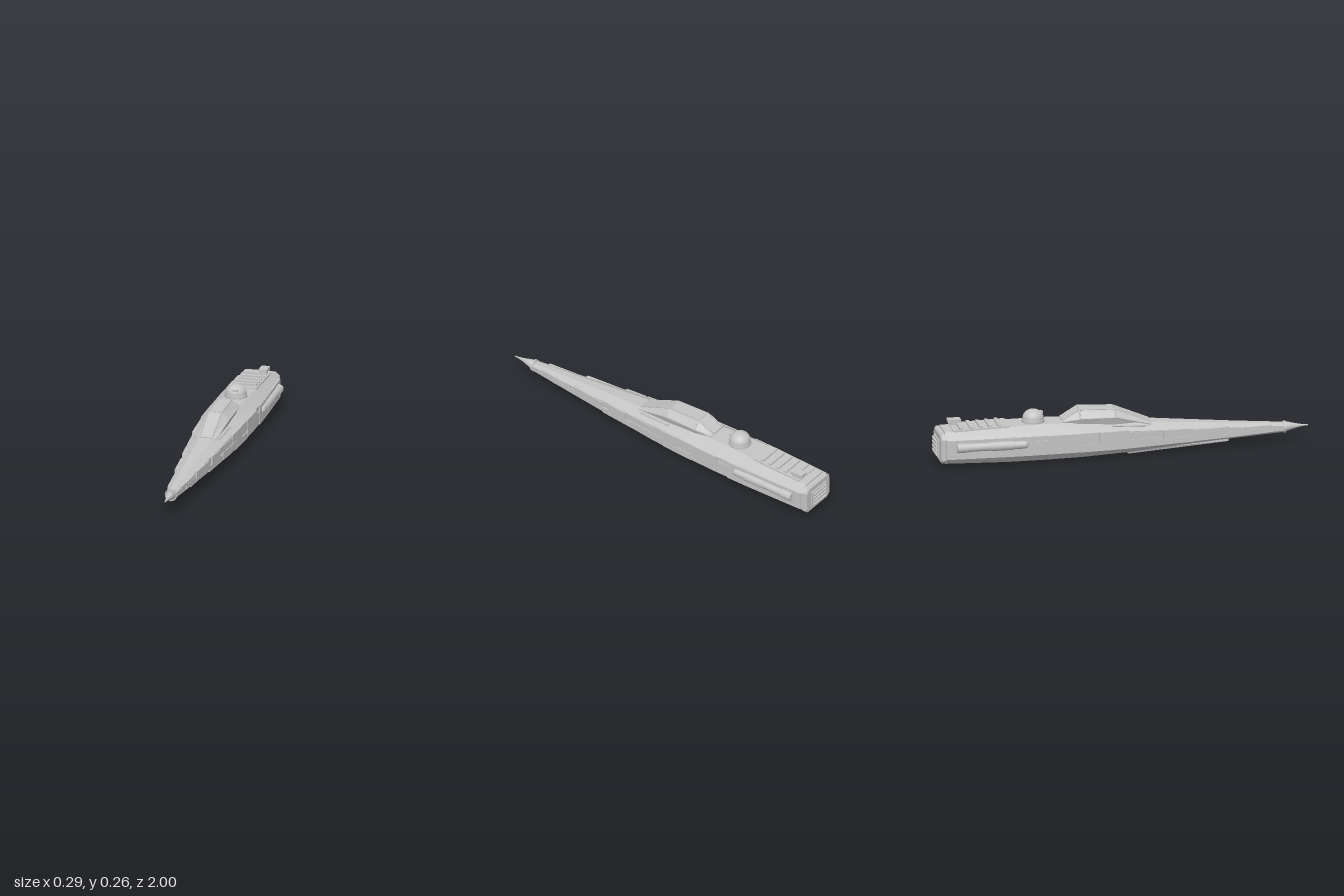
import * as THREE from 'three';

export function createModel() {
  const model = new THREE.Group();
  const grey = new THREE.MeshStandardMaterial({ color: 0xc4c4c4 });
  grey.name = 'hull grey';

  const add = (name, geo, x = 0, y = 0, z = 0) => {
    const m = new THREE.Mesh(geo, grey);
    m.name = name;
    m.position.set(x, y, z);
    model.add(m);
    return m;
  };
  const box = (name, w, h, d, x, y, z) => add(name, new THREE.BoxGeometry(w, h, d), x, y, z);

  // Closed faceted solid through rings ordered back to front, each counter-clockwise from the front
  function loft(rings) {
    const pos = [];
    const tri = (...p) => p.forEach((q) => pos.push(...q));
    const n = rings[0].length;
    for (let i = 0; i + 1 < rings.length; i++) {
      for (let j = 0; j < n; j++) {
        const k = (j + 1) % n, a = rings[i], b = rings[i + 1];
        tri(a[j], a[k], b[k]);
        tri(a[j], b[k], b[j]);
      }
    }
    const back = rings[0], front = rings[rings.length - 1];
    for (let j = 1; j + 1 < n; j++) {
      tri(front[0], front[j], front[j + 1]);
      tri(back[0], back[j + 1], back[j]);
    }
    const g = new THREE.BufferGeometry();
    g.setAttribute('position', new THREE.Float32BufferAttribute(pos, 3));
    g.computeVertexNormals();
    return g;
  }
  // Mirror a right-hand half profile (bottom to top) into a full ring
  const ring = (half, z) => [
    ...half.map(([x, y]) => [x, y, z]),
    ...half.slice().reverse().map(([x, y]) => [-x, y, z]),
  ];
  // Bar between two points
  function bar(name, a, b, r, sides = 6) {
    const A = new THREE.Vector3(...a), B = new THREE.Vector3(...b);
    const m = add(name, new THREE.CylinderGeometry(r, r, A.distanceTo(B), sides));
    m.position.copy(A).add(B).multiplyScalar(0.5);
    m.quaternion.setFromUnitVectors(new THREE.Vector3(0, 1, 0), B.sub(A).normalize());
  }

  // Hull stations: z, bottom half width, bottom y, side half width, side low y, side high y, top half width, top y
  const stations = [
    [-0.955, 0.075, 0.016, 0.108, 0.05, 0.148, 0.07, 0.186],
    [-0.62, 0.076, 0.006, 0.119, 0.047, 0.152, 0.068, 0.196],
    [-0.4, 0.076, 0.006, 0.121, 0.047, 0.15, 0.062, 0.198],
    [-0.2, 0.068, 0.007, 0.116, 0.047, 0.15, 0.052, 0.192],
    [0.03, 0.052, 0.013, 0.103, 0.048, 0.142, 0.042, 0.178],
    [0.3, 0.038, 0.03, 0.078, 0.054, 0.129, 0.03, 0.155],
    [0.57, 0.026, 0.045, 0.054, 0.061, 0.113, 0.02, 0.132],
    [0.87, 0.013, 0.06, 0.028, 0.072, 0.098, 0.011, 0.108],
  ];
  add('hull', loft(stations.map(([z, bx, by, sx, s0, s1, tx, ty]) =>
    ring([[bx, by], [sx, s0], [sx, s1], [tx, ty]], z))));

  // Value of a station column at any z
  function at(z, col) {
    let i = 0;
    while (i < stations.length - 2 && z > stations[i + 1][0]) i++;
    const a = stations[i], b = stations[i + 1];
    return THREE.MathUtils.lerp(a[col], b[col], (z - a[0]) / (b[0] - a[0]));
  }

  // Raised armour plates: back z, front z, low y, high y, thickness
  const plates = [
    [-0.95, -0.48, 0.048, 0.15, 0.006], [-0.48, -0.4, 0.065, 0.125, 0.005],
    [-0.41, -0.24, 0.06, 0.15, 0.007], [-0.24, -0.13, 0.1, 0.15, 0.005],
    [-0.24, -0.05, 0.048, 0.085, 0.004], [-0.14, 0.02, 0.085, 0.148, 0.007],
    [-0.05, 0.17, 0.06, 0.1, 0.009], [0.02, 0.2, 0.1, 0.135, 0.005],
    [0.17, 0.37, 0.056, 0.088, 0.006], [0.21, 0.33, 0.09, 0.13, 0.008],
    [0.37, 0.57, 0.07, 0.12, 0.007], [0.57, 0.72, 0.07, 0.095, 0.005],
    [0.6, 0.8, 0.09, 0.108, 0.003],
  ];
  for (const s of [1, -1]) {
    for (const [z0, z1, y0, y1, t] of plates) {
      const cut = (z) => {
        const x = at(z, 3), inner = s * (x - 0.012), outer = s * (x + t);
        const r = [[inner, y0, z], [outer, y0, z], [outer, y1, z], [inner, y1, z]];
        return s > 0 ? r : r.reverse();
      };
      const cuts = [z0, ...stations.map((q) => q[0]).filter((z) => z > z0 && z < z1), z1];
      add('sidePlate', loft(cuts.map(cut)));
    }
    // Side cylinders with collars and rounded front
    const tube = (name, r, z0, z1) => {
      const m = add(name, new THREE.CylinderGeometry(r, r, z1 - z0, 16), s * 0.12, 0.111, (z0 + z1) / 2);
      m.rotation.x = Math.PI / 2;
    };
    tube('sideTube', 0.022, -0.9, -0.54);
    tube('tubeCollar', 0.025, -0.9, -0.84);
    tube('tubeCollar', 0.025, -0.72, -0.6);
    add('tubeNose', new THREE.SphereGeometry(0.022, 16, 8), s * 0.12, 0.111, -0.54);
    // Slim fairings beside the canopy
    bar('canopyFairing', [s * 0.076, 0.168, -0.06], [s * 0.066, 0.158, 0.13], 0.005, 8);
  }

  // Belly keel
  add('bellyKeel', loft([
    ring([[0.04, 0], [0.05, 0.025]], 0.03),
    ring([[0.028, 0.033], [0.028, 0.055]], 0.57),
  ]));

  // Nose ring and spike
  const collar = add('noseRing', new THREE.CylinderGeometry(0.033, 0.033, 0.012, 12), 0, 0.085, 0.872);
  collar.rotation.x = Math.PI / 2;
  const spike = add('noseSpike', new THREE.LatheGeometry(
    [[0, 0], [0.028, 0], [0.018, 0.04], [0.009, 0.075], [0.005, 0.1], [0.003, 0.125], [0, 0.125]]
      .map(([x, y]) => new THREE.Vector2(x, y)), 12), 0, 0.087, 0.875);
  spike.rotation.x = Math.PI / 2;

  // Canopy half profiles: base, waist and roof, from back to front
  const canopy = [
    [-0.32, [[0.05, 0.185], [0.052, 0.198], [0.034, 0.205]]],
    [-0.23, [[0.062, 0.18], [0.074, 0.215], [0.038, 0.257]]],
    [-0.04, [[0.06, 0.165], [0.074, 0.213], [0.036, 0.249]]],
    [0.15, [[0.03, 0.15], [0.052, 0.16], [0.032, 0.17]]],
  ];
  add('canopy', loft(canopy.map(([z, half]) => ring(half, z))));
  // Canopy frame along the edges
  const corner = (i, j, s) => [s * canopy[i][1][j][0], canopy[i][1][j][1], canopy[i][0]];
  for (let i = 0; i < 4; i++) {
    bar('canopyFrame', corner(i, 2, 1), corner(i, 2, -1), 0.004);
    for (const s of [1, -1]) {
      bar('canopyFrame', corner(i, 1, s), corner(i, 2, s), 0.004);
      for (const j of [1, 2]) if (i < 3) bar('canopyFrame', corner(i, j, s), corner(i + 1, j, s), 0.004);
    }
  }

  // Sensor dome with stepped base and eye
  add('domeBase', new THREE.CylinderGeometry(0.06, 0.06, 0.018, 32), 0, 0.2, -0.47);
  add('domeBand', new THREE.CylinderGeometry(0.056, 0.058, 0.01, 32), 0, 0.213, -0.47);
  const dome = add('dome', new THREE.SphereGeometry(0.056, 32, 10, 0, Math.PI * 2, 0, Math.PI / 2), 0, 0.217, -0.47);
  dome.scale.y = 0.85;
  box('domeEye', 0.028, 0.012, 0.02, 0.008, 0.243, -0.428);

  // Rear deck grille, following the falling deck
  const deckY = (z) => at(z, 7);
  const deck = box('rearDeck', 0.146, 0.008, 0.3, 0, deckY(-0.76) + 0.001, -0.76);
  deck.rotation.x = -0.03;
  for (const z of [-0.865, -0.81, -0.76, -0.71, -0.66]) {
    box('deckBar', 0.126, 0.012, 0.018, 0, deckY(z) + 0.008, z);
  }
  box('deckPost', 0.03, 0.03, 0.04, 0.043, 0.205, -0.885);
  box('deckBox', 0.045, 0.016, 0.07, 0.043, 0.216, -0.885);

  // Rear plate and exhaust grille
  const endHalf = (g) => [[0.088 + g, 0.022 - g], [0.105 + g, 0.04 - g], [0.105 + g, 0.155 + g], [0.082 + g, 0.178 + g]];
  add('rearPlate', loft([ring(endHalf(-0.008), -0.982), ring(endHalf(0), -0.975), ring(endHalf(0), -0.95)]));
  box('exhaustPanel', 0.13, 0.095, 0.012, 0, 0.095, -0.984);
  for (let i = 0; i < 4; i++) box('exhaustBar', 0.11, 0.011, 0.014, 0, 0.062 + i * 0.022, -0.993);

  return model;
}
